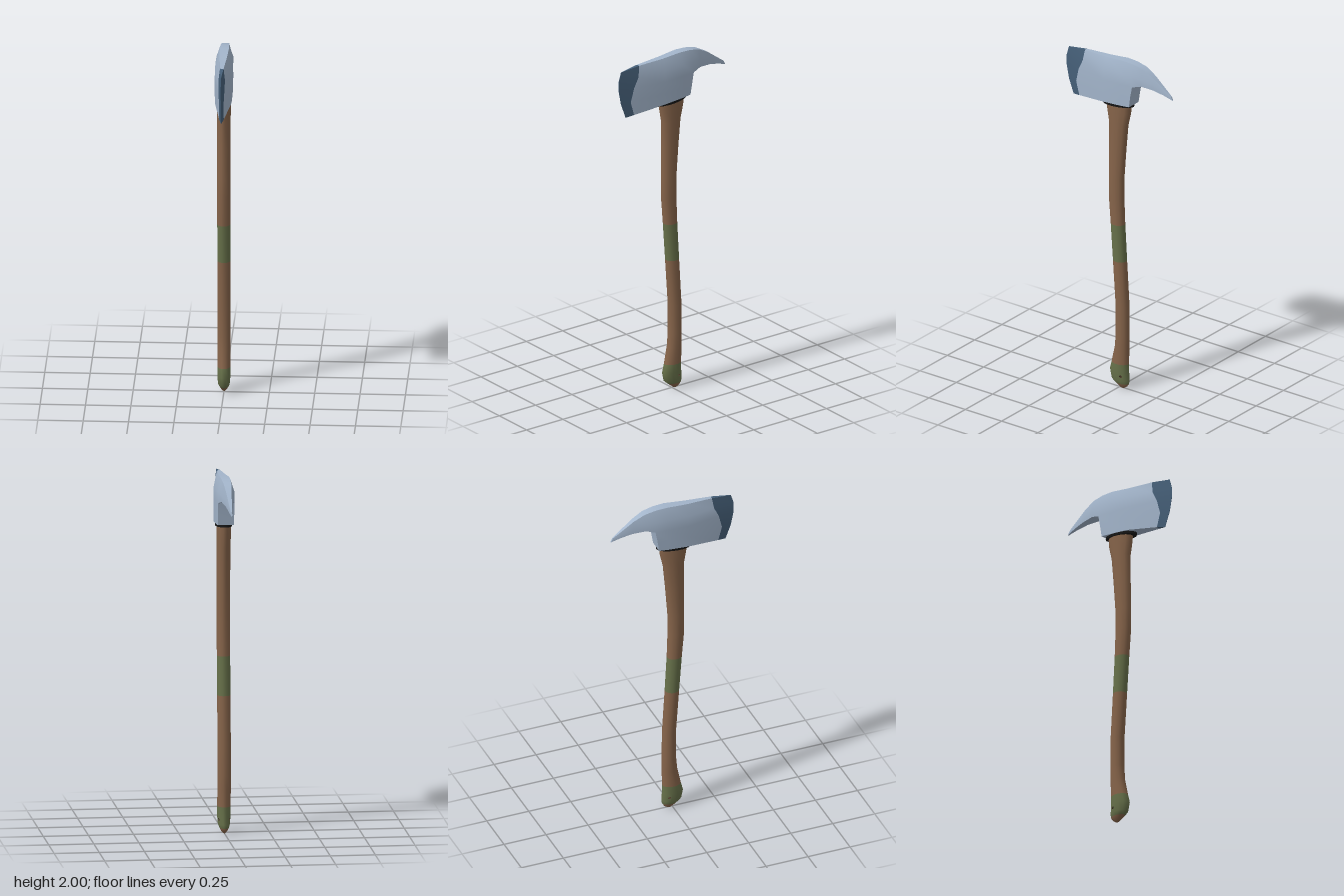
import * as THREE from 'three';
import { toCreasedNormals } from 'three/addons/utils/BufferGeometryUtils.js';

const mat = (color, side = THREE.FrontSide) => new THREE.MeshStandardMaterial({ color, side });
const WOOD = mat(0x86644a), GREEN = mat(0x67714a), STEEL = mat(0xa3b5cb), EDGE = mat(0x466079), BLACK = mat(0x151515);

function addMesh(parent, name, geometry, material) {
  const mesh = new THREE.Mesh(geometry, material);
  mesh.name = name;
  parent.add(mesh);
  return mesh;
}

// Handle rings from the foot up: [y, front z, back z, half width, band starting here]
const RINGS = [
  [0, -0.01, -0.03, 0.006, 'handleFoot'], [0.012, 0.006, -0.048, 0.017], [0.03, 0.03, -0.06, 0.026, 'lowerBand'],
  [0.05, 0.053, -0.062, 0.033], [0.1, 0.063, -0.059, 0.037], [0.15, 0.05, -0.058, 0.037, 'lowerHandle'],
  [0.25, 0.028, -0.06, 0.037], [0.33, 0.021, -0.06, 0.037], [0.5, 0.021, -0.058, 0.037],
  [0.77, 0.04, -0.042, 0.037, 'gripBand'], [0.99, 0.056, -0.03, 0.037, 'upperHandle'],
  [1.15, 0.07, -0.025, 0.037], [1.27, 0.07, -0.026, 0.037], [1.45, 0.069, -0.04, 0.037],
  [1.6, 0.069, -0.054, 0.038], [1.68, 0.083, -0.073, 0.039], [1.74, 0.086, -0.076, 0.039],
];
const SIDES = 12, HOLE_ROW = 3, HOLE_SIDES = { 10: 0.6, 6: 0.4 };

function buildHandle() {
  const group = new THREE.Group();
  group.name = 'handle';
  const points = [], bands = {}, holes = [];
  for (const [y, front, back, w] of RINGS) {
    for (let j = 0; j < SIDES; j++) {
      const t = ((j + 0.5) / SIDES) * Math.PI * 2;
      points.push(new THREE.Vector3(w * Math.cos(t), y, (front + back) / 2 + ((front - back) / 2) * Math.sin(t)));
    }
  }
  const at = (i, j) => i * SIDES + (j % SIDES);

  // A side panel with a round hole: ring points joined to the panel corners
  function drilledPanel(index, i, j, u0) {
    const corners = [at(i + 1, j + 1), at(i + 1, j), at(i, j), at(i, j + 1)];
    const first = points.length;
    for (let m = 0; m < 8; m++) {
      const a = ((m + 0.5) * Math.PI) / 4, u = u0 + 0.29 * Math.cos(a), v = 0.54 + 0.16 * Math.sin(a);
      const low = points[corners[2]].clone().lerp(points[corners[3]], u);
      points.push(low.lerp(points[corners[1]].clone().lerp(points[corners[0]], u), v));
    }
    for (let m = 0; m < 8; m++) {
      const n = (m + 1) % 8, o = corners[m >> 1], p = corners[n >> 1];
      index.push(o, first + m, first + n);
      if (o !== p) index.push(o, first + n, p);
    }
    holes.push(first);
  }

  let name;
  for (let i = 0; i < RINGS.length - 1; i++) {
    name = RINGS[i][4] ?? name;
    const index = (bands[name] ??= []);
    for (let j = 0; j < SIDES; j++) {
      if (i === HOLE_ROW && HOLE_SIDES[j]) {
        drilledPanel(index, i, j, HOLE_SIDES[j]);
      } else {
        const a = at(i, j), b = at(i, j + 1), c = at(i + 1, j + 1), d = at(i + 1, j);
        index.push(a, d, c, a, c, b);
      }
    }
  }
  // Close the foot
  points.push(new THREE.Vector3(0, 0, -0.02));
  for (let j = 0; j < SIDES; j++) bands.handleFoot.push(points.length - 1, at(0, j), at(0, j + 1));

  // Normals come from the whole handle so the bands meet smoothly
  const whole = new THREE.BufferGeometry().setFromPoints(points);
  whole.setIndex(Object.values(bands).flat());
  whole.computeVertexNormals();
  for (const [band, index] of Object.entries(bands)) {
    const geometry = new THREE.BufferGeometry();
    geometry.setAttribute('position', whole.attributes.position);
    geometry.setAttribute('normal', whole.attributes.normal);
    geometry.setIndex(index);
    addMesh(group, band, geometry, band.endsWith('Band') ? GREEN : WOOD);
  }

  // Wall of the hole through the foot
  const wall = [];
  for (let m = 0; m < 8; m++) {
    const n = (m + 1) % 8, opposite = (k) => holes[0] + ((11 - k) % 8);
    const a = holes[1] + m, b = holes[1] + n, c = opposite(n), d = opposite(m);
    for (const k of [a, b, c, a, c, d]) wall.push(points[k]);
  }
  const wallGeometry = new THREE.BufferGeometry().setFromPoints(wall);
  wallGeometry.computeVertexNormals();
  addMesh(group, 'cordHole', wallGeometry, mat(0x4a3a2a, THREE.DoubleSide));
  return group;
}

// Head sections from cutting edge to pick tip; each row is [z, y, half width], top to bottom
const CUT = [[0.35, 1.97, 0.001], [0.366, 1.915, 0.001], [0.366, 1.86, 0.001], [0.35, 1.777, 0.001], [0.318, 1.692, 0.001]];
const BEVEL = [[0.233, 1.984, 0.01], [0.243, 1.92, 0.018], [0.272, 1.86, 0.016], [0.292, 1.78, 0.012], [0.27, 1.7, 0.013]];
const BODY = [
  BEVEL,
  [[0.075, 1.99, 0.02], [0.08, 1.925, 0.046], [0.08, 1.86, 0.047], [0.08, 1.79, 0.047], [0.08, 1.726, 0.046]],
  [[-0.04, 2, 0.025], [-0.045, 1.93, 0.047], [-0.045, 1.865, 0.047], [-0.045, 1.8, 0.047], [-0.045, 1.735, 0.046]],
  [[-0.106, 1.997, 0.024], [-0.11, 1.93, 0.046], [-0.117, 1.867, 0.045], [-0.106, 1.81, 0.046], [-0.095, 1.74, 0.044]],
];
const PICK = [
  BODY[3].slice(0, 3),
  [[-0.17, 1.984, 0.021], [-0.17, 1.925, 0.035], [-0.17, 1.883, 0.034]],
  [[-0.235, 1.95, 0.015], [-0.24, 1.91, 0.021], [-0.245, 1.876, 0.021]],
  [[-0.298, 1.904, 0.009], [-0.305, 1.88, 0.012], [-0.31, 1.86, 0.012]],
  [[-0.355, 1.862, 0.003], [-0.36, 1.85, 0.004], [-0.366, 1.84, 0.003]],
];

function headGeometry(...runs) {
  const out = [];
  const vertex = ([z, y, x], s) => out.push(x * s, y, z);
  const quad = (corners) => [0, 1, 2, 0, 2, 3].forEach((k) => vertex(...corners[k]));
  // Strip across the thickness between two rows, facing up or back, or flipped
  const across = (a, b, flip) => {
    const q = [[a, 1], [b, 1], [b, -1], [a, -1]];
    quad(flip ? q.reverse() : q);
  };
  for (const { sections, backFrom } of runs) {
    const rows = sections[0].length;
    for (let i = 0; i < sections.length - 1; i++) {
      const p = sections[i], q = sections[i + 1];
      for (let r = 0; r < rows - 1; r++) {
        quad([[p[r], 1], [p[r + 1], 1], [q[r + 1], 1], [q[r], 1]]);
        quad([[q[r], -1], [q[r + 1], -1], [p[r + 1], -1], [p[r], -1]]);
      }
      across(p[0], q[0], false);
      across(p[rows - 1], q[rows - 1], true);
    }
    const first = sections[0], last = sections[sections.length - 1];
    for (let r = 0; r < rows - 1; r++) {
      if (first === CUT) across(first[r], first[r + 1], true);
      if (r >= backFrom) across(last[r], last[r + 1], false);
    }
  }
  const geometry = new THREE.BufferGeometry();
  geometry.setAttribute('position', new THREE.Float32BufferAttribute(out, 3));
  return toCreasedNormals(geometry, 0.45);
}

export function createModel() {
  const model = new THREE.Group();
  model.name = 'fireAxe';
  model.add(buildHandle());

  const head = new THREE.Group();
  head.name = 'head';
  model.add(head);
  addMesh(head, 'cuttingEdge', headGeometry({ sections: [CUT, BEVEL], backFrom: 9 }), EDGE);
  addMesh(head, 'headAndPick', headGeometry({ sections: BODY, backFrom: 2 }, { sections: PICK, backFrom: 0 }), STEEL);

  // Black collar under the head, tilted with its lower face
  const collar = addMesh(model, 'collar', new THREE.CylinderGeometry(1, 1, 0.022, 16), BLACK);
  collar.scale.set(0.046, 1, 0.105);
  collar.position.set(0, 1.728, 0.01);
  collar.rotation.x = 0.08;
  return model;
}
